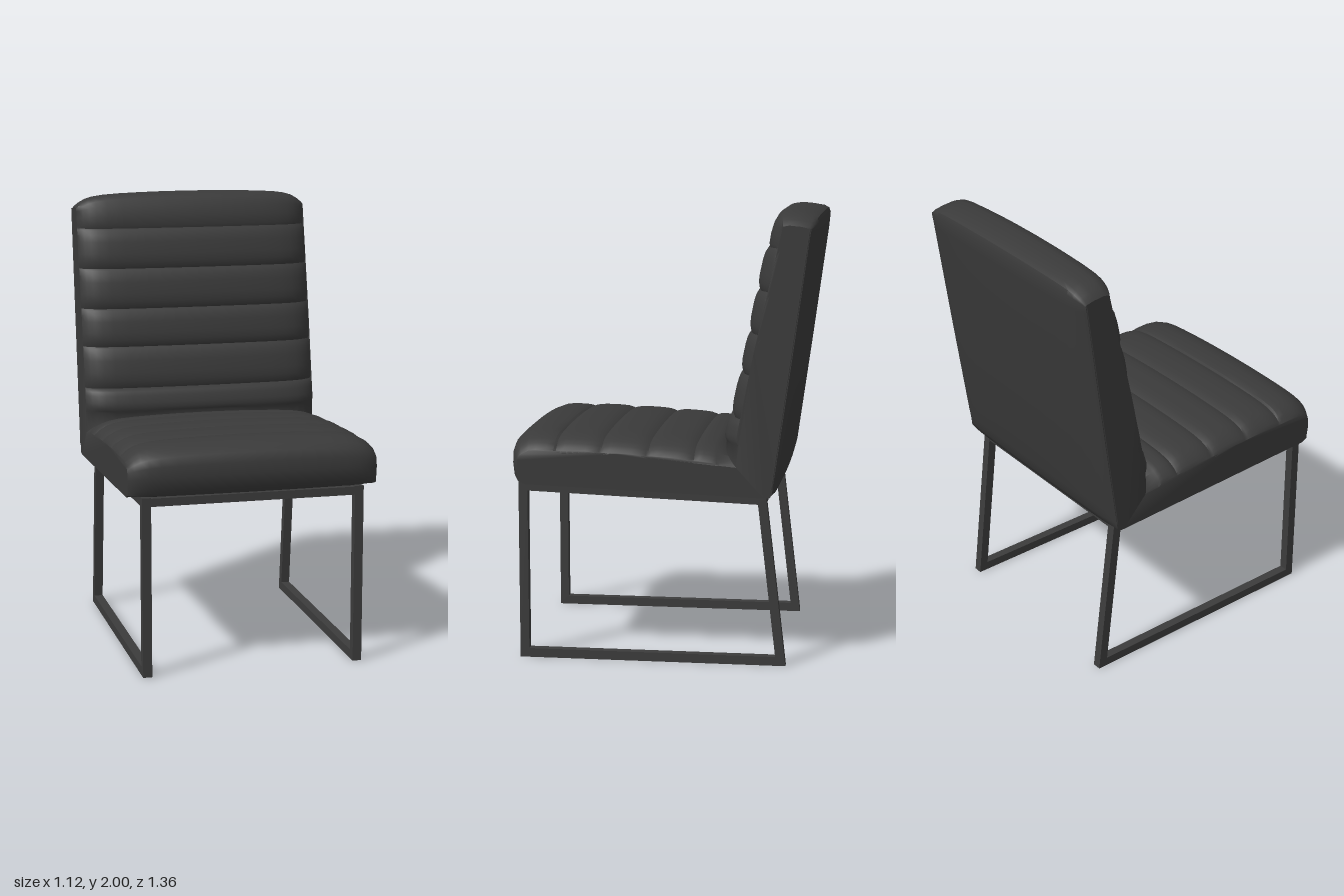
import * as THREE from 'three';
import { toCreasedNormals } from 'three/addons/utils/BufferGeometryUtils.js';

const upholstery = new THREE.MeshStandardMaterial({ name: 'charcoal upholstery', color: 0x3a3a3a });
const metal = new THREE.MeshStandardMaterial({ name: 'dark metal', color: 0x3c3c3c });
const lining = new THREE.MeshStandardMaterial({ name: 'black lining', color: 0x1e1e1e });

const HALF_WIDTH = 0.555;

// Padded channels between stitch lines given as [z, y]; edge is the pull at the sides
function channels(stitches, height, edge) {
  const points = [];
  for (let i = 0; i < stitches.length - 1; i++) {
    const [z0, y0] = stitches[i], [z1, y1] = stitches[i + 1];
    const length = Math.hypot(z1 - z0, y1 - y0);
    const nz = (y1 - y0) / length, ny = -(z1 - z0) / length;
    for (const v of [-1, -0.9, -0.65, -0.3, 0.3, 0.65, 0.9]) {
      const t = (v + 1) / 2, bump = height * (1 - v ** 4);
      points.push([z0 + (z1 - z0) * t + nz * bump, y0 + (y1 - y0) * t + ny * bump, ...edge]);
    }
  }
  return points;
}

// Sweeps a side profile of [z, y, dz, dy] across x, pulling it in along (dz, dy) near the sides
function cushion(name, profile) {
  const half = [0.25, 0.45, 0.62, 0.75, 0.84, 0.9, 0.95, 0.98, 1];
  const stations = [...half.map(u => -u).reverse(), 0, ...half];
  const n = profile.length, positions = [], index = [];
  for (const u of stations) {
    const pull = 0.02 * u * u + 0.055 * Math.abs(u) ** 12;
    for (const [z, y, dz, dy] of profile) positions.push(u * HALF_WIDTH, y + dy * pull, z + dz * pull);
  }
  for (let i = 0; i < stations.length - 1; i++) {
    for (let j = 0; j < n; j++) {
      const a = i * n + j, b = i * n + (j + 1) % n;
      index.push(a, a + n, b, b, a + n, b + n);
    }
  }
  // Flat side panels
  const cz = profile.reduce((s, p) => s + p[0], 0) / n;
  const cy = profile.reduce((s, p) => s + p[1], 0) / n - 0.04;
  const centre = positions.length / 3, last = (stations.length - 1) * n;
  positions.push(-HALF_WIDTH, cy, cz, HALF_WIDTH, cy, cz);
  for (let j = 0; j < n; j++) {
    const k = (j + 1) % n;
    index.push(centre, j, k, centre + 1, last + k, last + j);
  }
  const geometry = new THREE.BufferGeometry();
  geometry.setAttribute('position', new THREE.Float32BufferAttribute(positions, 3));
  geometry.setIndex(index);
  const mesh = new THREE.Mesh(toCreasedNormals(geometry, 0.75), upholstery);
  mesh.name = name;
  return mesh;
}

// Square bar running across the chair
function crossRail(name, y, z) {
  const rail = new THREE.Mesh(new THREE.BoxGeometry(0.94, 0.036, 0.04), metal);
  rail.name = name;
  rail.position.set(0, y, z);
  return rail;
}

export function createModel() {
  const chair = new THREE.Group();
  chair.name = 'diningChair';

  // Seat cushion, meeting the backrest along a slanted seam
  chair.add(cushion('seatCushion', [
    [-0.45, 0.76, 0, 0], [0.6, 0.797, 0, 0], [0.65, 0.802, -0.3, 0.1], [0.674, 0.83, -0.6, 0],
    [0.68, 0.89, -0.6, -0.2], [0.678, 0.94, -0.6, -0.5], [0.664, 0.98, -0.5, -0.8],
    [0.635, 1.005, -0.3, -1], [0.59, 1.021, -0.1, -1], [0.55, 1.026, 0, -1], [0.5, 1.024, 0, -1], [0.47, 1.02, 0, -1],
    ...channels([[0.46, 1.013], [0.26, 1.008], [0.055, 0.997], [-0.145, 0.983], [-0.26, 0.967]], 0.014, [0, -1]),
    [-0.26, 0.967, -0.92, -1],
  ]));

  // Backrest
  chair.add(cushion('backrest', [
    [-0.45, 0.76, 0, 0], [-0.26, 0.967, -0.92, -1],
    ...channels([[-0.262, 0.99], [-0.295, 1.1], [-0.335, 1.29], [-0.37, 1.465], [-0.405, 1.65], [-0.445, 1.835]],
      0.018, [-1, 0]),
    [-0.445, 1.835, -1, 0], [-0.442, 1.85, -1, 0], [-0.448, 1.89, -1, -0.1], [-0.464, 1.94, -0.8, -0.4],
    [-0.485, 1.975, -0.5, -0.8], [-0.515, 1.995, -0.1, -0.9], [-0.55, 2, 0, -0.9], [-0.6, 1.995, 0, -0.9],
    [-0.65, 1.987, 0.2, -0.9], [-0.672, 1.975, 0.4, -0.8], [-0.68, 1.95, 0.5, -0.5],
    [-0.674, 1.88, 0.5, 0], [-0.605, 1.37, 0.5, 0], [-0.535, 0.87, 0.5, 0], [-0.518, 0.81, 0.4, 0],
    [-0.5, 0.777, 0.2, 0], [-0.475, 0.762, 0, 0],
  ]));

  // Raised seam on each side of the backrest
  const seamPath = new THREE.LineCurve3(new THREE.Vector3(0, 0.8, -0.482), new THREE.Vector3(0, 1.92, -0.637));
  for (const side of [-1, 1]) {
    const seam = new THREE.Mesh(new THREE.TubeGeometry(seamPath, 1, 0.003, 6), upholstery);
    seam.name = side > 0 ? 'leftBackSeam' : 'rightBackSeam';
    seam.position.x = side * HALF_WIDTH;
    chair.add(seam);
  }

  // Closed loop leg frames, one on each side
  const loop = new THREE.Shape([[0.64, 0.797], [-0.455, 0.757], [-0.545, 0], [0.64, 0]]
    .map(p => new THREE.Vector2(...p)));
  loop.holes.push(new THREE.Path([[0.6, 0.757], [0.6, 0.04], [-0.5, 0.04], [-0.42, 0.72]]
    .map(p => new THREE.Vector2(...p))));
  const loopGeometry = new THREE.ExtrudeGeometry(loop, { depth: 0.04, bevelEnabled: false });
  loopGeometry.translate(0, 0, -0.02).rotateY(-Math.PI / 2);
  for (const side of [-1, 1]) {
    const frame = new THREE.Mesh(loopGeometry, metal);
    frame.name = side > 0 ? 'leftLegFrame' : 'rightLegFrame';
    frame.position.x = side * 0.475;
    chair.add(frame);
  }

  // Rails under the seat
  chair.add(crossRail('frontRail', 0.776, 0.62), crossRail('rearRail', 0.738, -0.435));

  // Lining under the seat
  const panel = new THREE.Mesh(new THREE.BoxGeometry(0.92, 0.008, 1.04), lining);
  panel.name = 'seatLining';
  panel.position.set(0, 0.775, 0.09);
  panel.rotation.x = -Math.atan2(0.037, 1.05);
  chair.add(panel);

  return chair;
}
